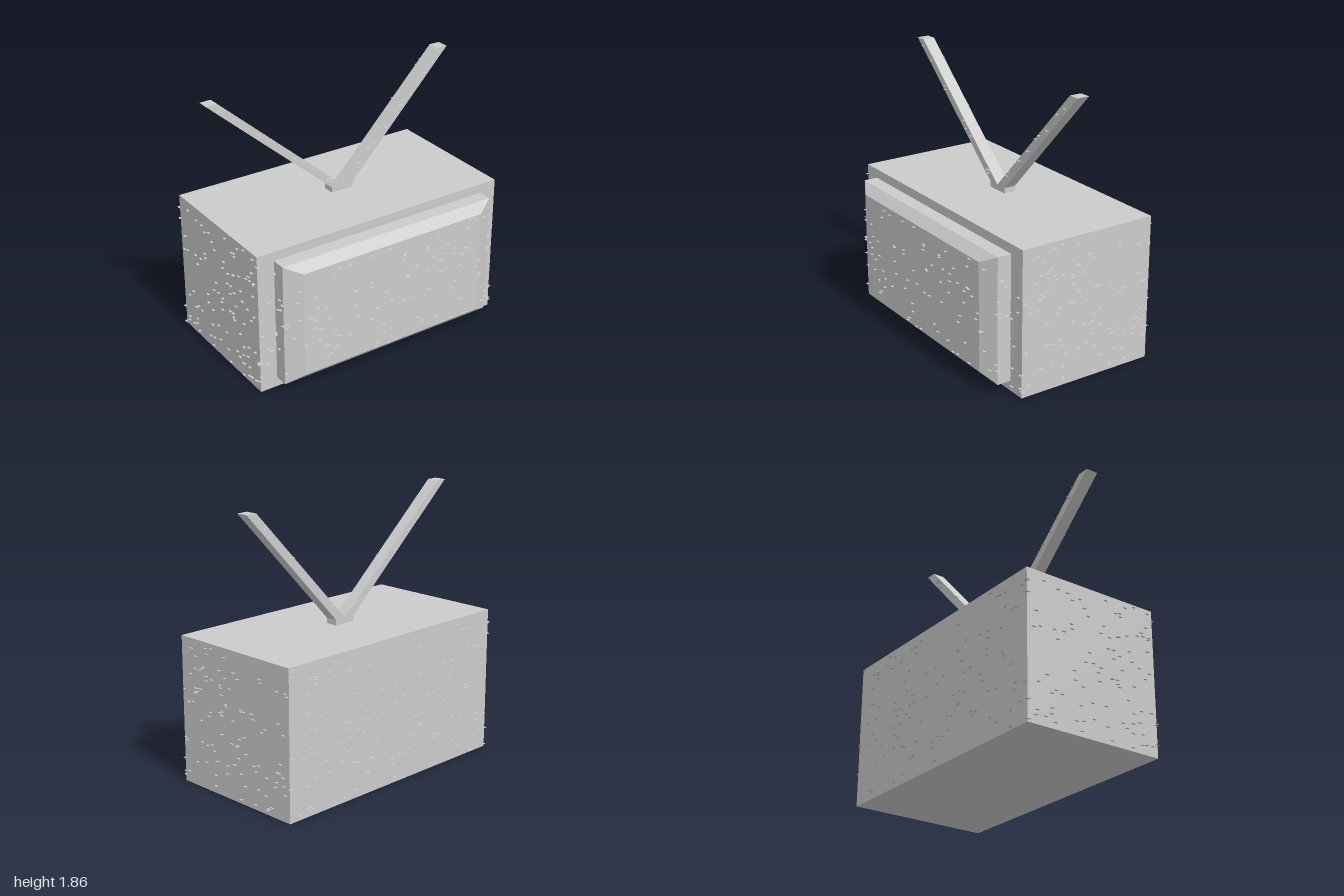
import * as THREE from 'three';
import { mergeGeometries } from 'three/addons/utils/BufferGeometryUtils.js';

const TURN = 0.038; // the whole set is turned slightly about y
const W = 0.95, D = 0.505, H = 1.01; // cabinet half width, half depth, height

function seeded(seed) {
  return () => (seed = (seed * 16807) % 2147483647) / 2147483647;
}

// Rectangular block lofted through rings of [z, halfWidth, bottom, top]
function loftRings(rings) {
  const pos = [], idx = [];
  for (const [z, w, b, t] of rings) pos.push(-w, b, z, w, b, z, w, t, z, -w, t, z);
  for (let r = 0; r < rings.length - 1; r++) {
    for (let i = 0; i < 4; i++) {
      const a = r * 4 + i, b = r * 4 + (i + 1) % 4;
      idx.push(a, b, b + 4, a, b + 4, a + 4);
    }
  }
  const e = (rings.length - 1) * 4;
  idx.push(e, e + 1, e + 2, e, e + 2, e + 3);
  const g = new THREE.BufferGeometry();
  g.setAttribute('position', new THREE.Float32BufferAttribute(pos, 3));
  g.setIndex(idx);
  const flat = g.toNonIndexed();
  flat.computeVertexNormals();
  return flat;
}

export function createModel() {
  const model = new THREE.Group();
  model.name = 'television';
  const mat = new THREE.MeshStandardMaterial({ color: 0xcccccc, flatShading: true });
  const thin = new THREE.MeshStandardMaterial({ color: 0xcccccc, side: THREE.DoubleSide });
  const add = (geometry, name, material = mat) => {
    const mesh = new THREE.Mesh(geometry, material);
    mesh.name = name;
    model.add(mesh);
    return mesh;
  };

  // Cabinet
  add(new THREE.BoxGeometry(2 * W, H, 2 * D), 'cabinet').position.y = H / 2;

  // Screen with bevelled rim
  add(loftRings([
    [D - 0.01, 0.826, 0.07, 0.945],
    [0.603, 0.826, 0.07, 0.945],
    [0.663, 0.706, 0.13, 0.885],
  ]), 'screen');

  // V-shaped aerial on a small foot
  const outline = [
    [-0.082, 1.01], [0.085, 1.01], [0.085, 1.048], [0.857, 1.86], [0.777, 1.86],
    [0, 1.048], [-0.92, 1.86], [-1.0, 1.86], [-0.082, 1.048],
  ].map(([x, y]) => new THREE.Vector2(x, y));
  const aerial = new THREE.ExtrudeGeometry(new THREE.Shape(outline), { depth: 0.086, bevelEnabled: false });
  aerial.translate(0, 0, -0.046);
  add(aerial, 'aerial');

  // Tiny horizontal flakes scattered over the upright faces
  const rand = seeded(7);
  const flakes = [];
  const flake = (x, y, z) => {
    const g = new THREE.PlaneGeometry(0.027, 0.027);
    g.rotateX(-Math.PI / 2);
    g.rotateY(-TURN);
    g.translate(x, y, z);
    flakes.push(g);
  };
  // Each face: start x, z, end x, z, bottom, top, count
  const faces = [
    [-W, -D, W, -D, 0, H, 120],
    [-W, -D, -W, D, 0, H, 100],
    [W, -D, W, D, 0, H, 100],
    [-0.706, 0.663, 0.706, 0.663, 0.13, 0.885, 75],
    [-W, D, -0.826, D, 0, H, 8],
    [0.826, D, W, D, 0, H, 8],
    [-0.826, D, -0.826, 0.603, 0.07, 0.94, 8],
    [0.826, D, 0.826, 0.603, 0.07, 0.94, 8],
    [-0.826, 0.603, -0.706, 0.663, 0.13, 0.88, 8],
    [0.826, 0.603, 0.706, 0.663, 0.13, 0.88, 8],
  ];
  for (const [x0, z0, x1, z1, b, t, n] of faces) {
    for (let i = 0; i < n; i++) {
      const k = rand();
      flake(x0 + (x1 - x0) * k, b + 0.01 + (t - b - 0.02) * rand(), z0 + (z1 - z0) * k);
    }
  }
  // Flakes along the front and back of both aerial arms
  for (const tip of [-0.96, 0.817]) {
    for (const z of [-0.046, 0.04]) {
      for (let i = 0; i < 10; i++) {
        const k = 0.08 + 0.88 * rand();
        flake(tip * k + (rand() - 0.5) * 0.05, 1.03 + 0.83 * k, z);
      }
    }
  }
  add(mergeGeometries(flakes), 'surfaceFlakes', thin);

  model.rotation.y = TURN;
  model.position.z = -0.075;
  const root = new THREE.Group();
  root.add(model);
  return root;
}
